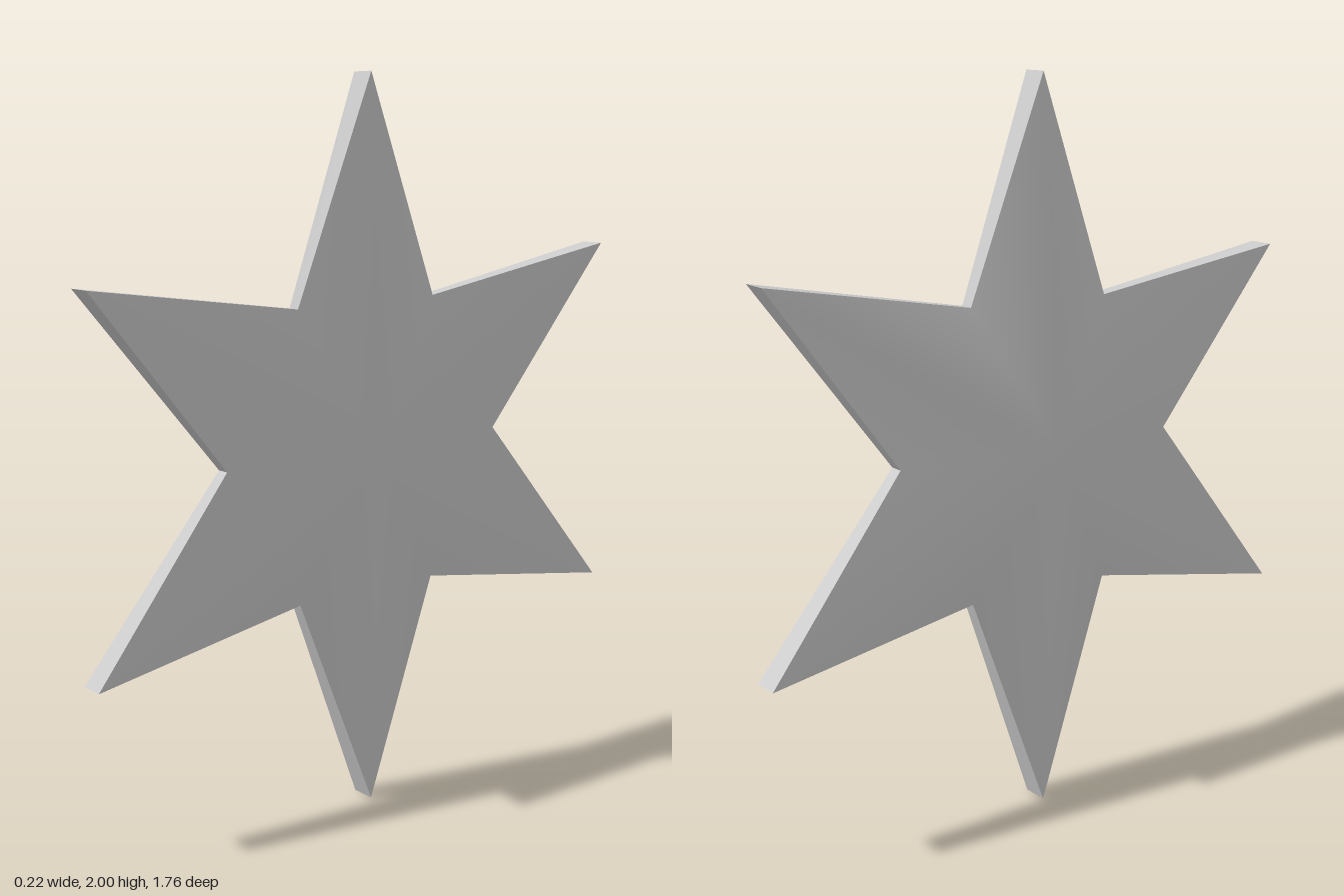
import * as THREE from 'three';

const POINTS = 6, COUNT = POINTS * 2;
const TIP_R = 1, INNER_R = 0.46, TURN = 0.03;
const TIP_HALF = 0.038, INNER_HALF = 0.02; // half thickness at the rim

// Rim corner i on the left (+1) or right (-1) face; the disc leans slightly
function rim(i, side) {
  const tip = i % 2 === 0;
  const a = TURN + (i * Math.PI) / POINTS;
  const r = tip ? TIP_R : INNER_R;
  const y = r * Math.cos(a), z = r * Math.sin(a);
  const mid = 0.004 + 0.039 * y + 0.058 * z;
  return [mid + side * (tip ? TIP_HALF : INNER_HALF), y + 1, z];
}

function makeMesh(name, positions, index, flatShading) {
  const geo = new THREE.BufferGeometry();
  geo.setAttribute('position', new THREE.Float32BufferAttribute(positions, 3));
  geo.setIndex(index);
  geo.computeVertexNormals();
  const mesh = new THREE.Mesh(geo, new THREE.MeshStandardMaterial({ color: 0xcccccc, flatShading }));
  mesh.name = name;
  return mesh;
}

// Shallow domed face: a fan from the raised centre to the rim, smooth shaded
function makeFace(name, side, centreX) {
  const positions = [centreX, 1, 0], index = [];
  for (let i = 0; i < COUNT; i++) {
    positions.push(...rim(i, side));
    const a = 1 + i, b = 1 + ((i + 1) % COUNT);
    index.push(0, ...(side > 0 ? [a, b] : [b, a]));
  }
  return makeMesh(name, positions, index, false);
}

// Flat walls joining the two faces around the outline
function makeEdge() {
  const positions = [], index = [];
  for (let i = 0; i < COUNT; i++) {
    positions.push(...rim(i, -1), ...rim(i, 1));
    const b0 = 2 * i, b1 = 2 * ((i + 1) % COUNT);
    index.push(b0, b1, b1 + 1, b0, b1 + 1, b0 + 1);
  }
  return makeMesh('starEdge', positions, index, true);
}

export function createModel() {
  const star = new THREE.Group();
  star.name = 'star';
  star.add(makeFace('leftFace', 1, 0.087), makeFace('rightFace', -1, -0.113), makeEdge());
  return star;
}
